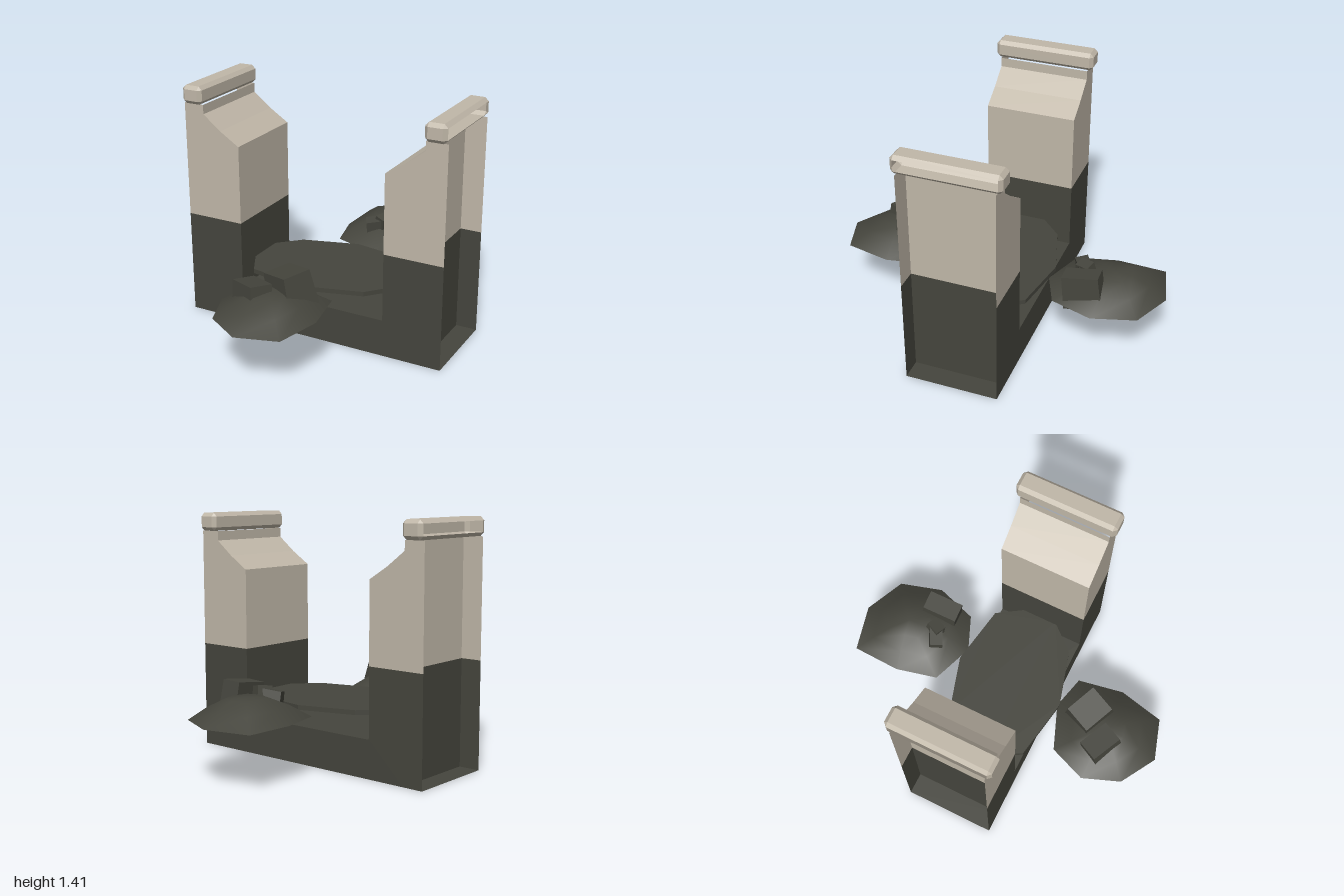
import * as THREE from 'three';

const dark = new THREE.MeshStandardMaterial({ color: 0x45453d, side: THREE.DoubleSide });
dark.name = 'dark stone';
const pale = new THREE.MeshStandardMaterial({ color: 0xc0b7a8, side: THREE.DoubleSide });
pale.name = 'pale plaster';

const HALF = 0.27; // half depth of the walls
const OUT = 0.81, STEP = 0.685, IN = 0.457, SPLIT = 0.62, TOP = 1.3;

function add(parent, name, geometry, material) {
  const mesh = new THREE.Mesh(geometry, material);
  mesh.name = name;
  parent.add(mesh);
  return mesh;
}

// Prism with a profile in x/y, centred on z
function prism(points, depth) {
  const shape = new THREE.Shape(points.map(p => new THREE.Vector2(...p)));
  const g = new THREE.ExtrudeGeometry(shape, { depth, bevelEnabled: false });
  return g.translate(0, 0, -depth / 2);
}

// Bevelled bar along z, open on its outer (+x) side
function capGeometry(hx, hy, hz, c) {
  const full = [[hx, -hy + c], [hx, hy - c], [hx - c, hy], [-hx + c, hy],
    [-hx, hy - c], [-hx, -hy + c], [-hx + c, -hy], [hx - c, -hy]];
  const small = full.map(([x, y]) => [Math.sign(x) * (hx - c), Math.sign(y) * (hy - c)]);
  const rings = [[small, -hz], [full, -hz + c], [full, hz - c], [small, hz]]
    .map(([s, z]) => s.map(([x, y]) => [x, y, z]));
  const pos = [];
  const quad = (a, b, d, e) => pos.push(...a, ...b, ...d, ...a, ...d, ...e);
  for (let r = 0; r < 3; r++) {
    for (let i = 0; i < 8; i++) {
      if (r === 1 && i === 0) continue;
      const j = (i + 1) % 8;
      quad(rings[r][i], rings[r][j], rings[r + 1][j], rings[r + 1][i]);
    }
  }
  quad(rings[3][1], rings[3][3], rings[3][5], rings[3][7]);
  quad(rings[0][7], rings[0][5], rings[0][3], rings[0][1]);
  const g = new THREE.BufferGeometry();
  g.setAttribute('position', new THREE.Float32BufferAttribute(pos, 3));
  g.computeVertexNormals();
  return g;
}

// Smooth mound: an outline shrunk towards its peak in rings
function moundGeometry(outline, [cx, cz], levels, peak) {
  const n = outline.length, pos = [], index = [];
  for (const [s, y] of levels) {
    for (const [x, z] of outline) pos.push(cx + (x - cx) * s, y, cz + (z - cz) * s);
  }
  pos.push(cx, peak, cz);
  for (let r = 0; r < levels.length; r++) {
    for (let i = 0; i < n; i++) {
      const j = (i + 1) % n, a = r * n + i, b = r * n + j;
      if (r === levels.length - 1) index.push(a, b, levels.length * n);
      else index.push(a, b, b + n, a, b + n, a + n);
    }
  }
  const g = new THREE.BufferGeometry();
  g.setAttribute('position', new THREE.Float32BufferAttribute(pos, 3));
  g.setIndex(index);
  g.computeVertexNormals();
  return g;
}

// Broken block, narrower at the top
function rock(parent, name, size, position, rotation, taper = 0.85) {
  let g = new THREE.BoxGeometry(...size);
  const p = g.attributes.position;
  for (let i = 0; i < p.count; i++) {
    if (p.getY(i) > 0) p.setXYZ(i, p.getX(i) * taper, p.getY(i), p.getZ(i) * taper);
  }
  g = g.toNonIndexed();
  g.computeVertexNormals();
  const m = add(parent, name, g, dark);
  m.position.set(...position);
  m.rotation.set(...rotation, 'YXZ');
}

export function createModel() {
  const model = new THREE.Group();
  model.name = 'ruinedGateway';
  const depth = HALF * 2;

  // U-shaped dark foundation
  add(model, 'foundation', prism([[-STEP, 0], [STEP, 0], [STEP, SPLIT], [IN, SPLIT],
    [IN, 0.22], [-IN, 0.22], [-IN, SPLIT], [-STEP, SPLIT]], depth), dark);

  // Two pillars, recessed on their outer sides
  for (const turn of [0, Math.PI]) {
    const pillar = new THREE.Group();
    pillar.name = turn ? 'rightPillar' : 'leftPillar';
    pillar.rotation.y = turn;
    model.add(pillar);
    add(pillar, 'upperWall', prism([[IN, SPLIT], [STEP, SPLIT], [STEP, 1.245],
      [0.575, 1.16], [IN, 1.085]], depth), pale);
    const lip = new THREE.PlaneGeometry(depth, TOP - 1.245).rotateY(-Math.PI / 2);
    add(pillar, 'wallLip', lip, pale).position.set(STEP, (TOP + 1.245) / 2, 0);

    // Thin side walls and floor of the recess
    for (const side of [1, -1]) {
      for (const [y0, y1, mat] of [[0, SPLIT, dark], [SPLIT, TOP, pale]]) {
        const g = new THREE.PlaneGeometry(OUT - STEP, y1 - y0);
        if (side < 0) g.rotateY(Math.PI);
        add(pillar, 'recessWall', g, mat).position.set((OUT + STEP) / 2, (y0 + y1) / 2, side * HALF);
      }
    }
    const floor = new THREE.PlaneGeometry(OUT - STEP, depth).rotateX(Math.PI / 2);
    add(pillar, 'recessFloor', floor, dark).position.x = (OUT + STEP) / 2;

    add(pillar, 'cap', capGeometry(0.063, 0.053, 0.302, 0.021), pale).position.set(0.745, 1.354, 0);
  }

  // Thin paving slab between the pillars
  const slab = prism([[0, -0.345], [0.33, -0.25], [0.47, -0.09], [0.47, 0.1], [0.36, 0.27],
    [0, 0.33], [-0.33, 0.23], [-0.47, 0.09], [-0.47, -0.1], [-0.37, -0.28]], 0.027);
  add(model, 'pavingSlab', slab.rotateX(-Math.PI / 2), dark).position.y = 0.344;

  // Mounds of earth in front and behind
  const frontOutline = [[-0.05, 0.995], [0.19, 0.92], [0.25, 0.65], [0.2, 0.38],
    [0, 0.33], [-0.26, 0.43], [-0.345, 0.65], [-0.26, 0.87]];
  const backOutline = [[0.08, -0.315], [0.28, -0.4], [0.36, -0.645], [0.285, -0.895],
    [0.05, -1], [-0.22, -0.935], [-0.23, -0.65], [-0.17, -0.405]];
  const levels = [[1, 0.33], [0.66, 0.4], [0.34, 0.447]];
  add(model, 'frontMound', moundGeometry(frontOutline, [-0.04, 0.66], levels, 0.455), dark);
  add(model, 'backMound', moundGeometry(backOutline, [0.05, -0.7], levels, 0.455), dark);

  // Rubble on the mounds
  rock(model, 'largeFrontRock', [0.23, 0.2, 0.2], [0.02, 0.43, 0.53], [0.08, -0.42, 0.16]);
  rock(model, 'smallFrontRock', [0.2, 0.18, 0.14], [-0.13, 0.4, 0.675], [-0.1, -0.48, 0.12], 0.95);
  rock(model, 'backSlabRock', [0.12, 0.2, 0.22], [0.21, 0.405, -0.56], [0.14, 0.06, 0.06], 0.95);
  rock(model, 'backRock', [0.15, 0.16, 0.09], [0.04, 0.39, -0.52], [0.15, 0.5, 0.15]);
  rock(model, 'backChip', [0.08, 0.17, 0.1], [0.07, 0.405, -0.54], [0.1, -0.4, -0.2]);
  return model;
}
